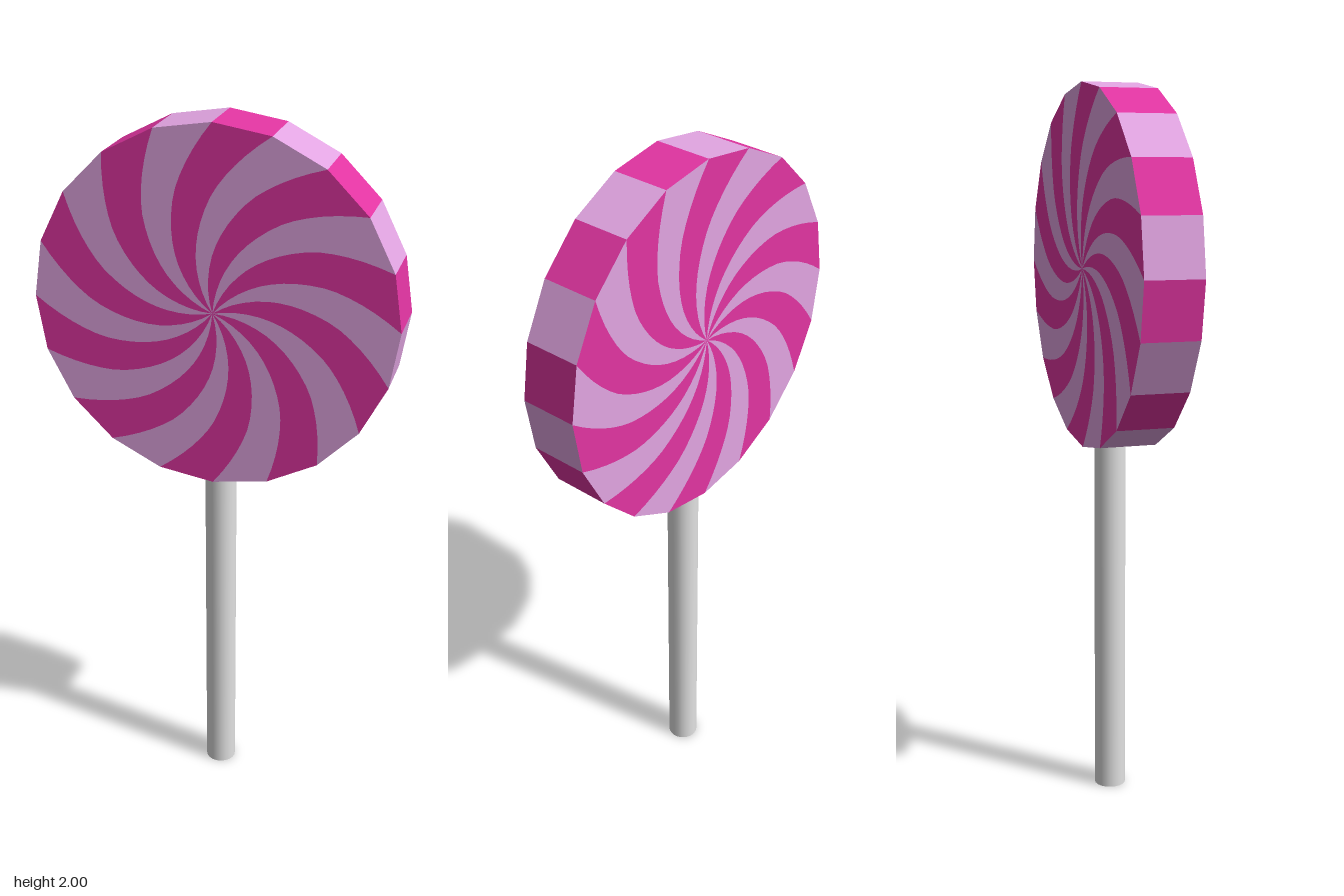
import * as THREE from 'three';

const SIDES = 20, R = 0.495, HALF = 0.08, CY = 1.505;
const STEP = (Math.PI * 2) / SIDES;
const TWIST = 0.9, RINGS = 16;

// point on the disc face: a = clockwise angle from the top, t = 0 centre .. 1 rim
function facePoint(a, t, z) {
  const ang = a - TWIST * (1 - t);
  const local = ((ang % STEP) + STEP) % STEP - STEP / 2;
  const r = t === 1 ? R : (t * R * Math.cos(STEP / 2)) / Math.cos(local);
  return [r * Math.sin(ang), r * Math.cos(ang), z];
}

// stripe border k: the pink stripes widen a little towards the centre
function border(k, t) {
  const widen = 0.07 * (1 - t);
  return (k + (k % 2 ? widen : -widen)) * STEP;
}

function toGeometry(pos) {
  const g = new THREE.BufferGeometry();
  g.setAttribute('position', new THREE.Float32BufferAttribute(pos, 3));
  g.computeVertexNormals();
  return g;
}

// every second curved stripe of one face
function swirlGeometry(parity) {
  const pos = [];
  for (let k = parity; k < SIDES; k += 2) {
    for (let j = 0; j < RINGS; j++) {
      const t0 = j / RINGS, t1 = (j + 1) / RINGS;
      const a = facePoint(border(k, t0), t0, HALF), b = facePoint(border(k + 1, t0), t0, HALF);
      const c = facePoint(border(k + 1, t1), t1, HALF), d = facePoint(border(k, t1), t1, HALF);
      if (j > 0) pos.push(...a, ...b, ...c);
      pos.push(...a, ...c, ...d);
    }
  }
  return toGeometry(pos);
}

// every second flat panel around the edge
function rimGeometry(parity) {
  const pos = [];
  for (let k = parity; k < SIDES; k += 2) {
    const a = facePoint(k * STEP, 1, HALF), b = facePoint((k + 1) * STEP, 1, HALF);
    const c = facePoint((k + 1) * STEP, 1, -HALF), d = facePoint(k * STEP, 1, -HALF);
    pos.push(...a, ...b, ...c, ...a, ...c, ...d);
  }
  return toGeometry(pos);
}

export function createModel() {
  const pink = new THREE.MeshStandardMaterial({ color: 0xe235a2 });
  pink.name = 'hotPink';
  const plum = new THREE.MeshStandardMaterial({ color: 0xe2a5e2 });
  plum.name = 'palePlum';
  const paper = new THREE.MeshStandardMaterial({ color: 0xe2e2e2, side: THREE.DoubleSide });
  paper.name = 'paperGrey';

  const model = new THREE.Group();
  model.name = 'lollipop';
  const candy = new THREE.Group();
  candy.name = 'candyDisc';
  candy.position.y = CY;
  model.add(candy);

  const add = (parent, name, geometry, material) => {
    const mesh = new THREE.Mesh(geometry, material);
    mesh.name = name;
    parent.add(mesh);
    return mesh;
  };

  // swirled faces and striped rim, in alternating colours
  [['pink', pink], ['plum', plum]].forEach(([name, material], parity) => {
    const swirl = swirlGeometry(parity);
    add(candy, name + 'FrontSwirl', swirl, material);
    add(candy, name + 'BackSwirl', swirl, material).rotation.y = Math.PI;
    add(candy, name + 'Rim', rimGeometry(parity), material);
  });

  // hollow stick
  const stick = add(model, 'stick', new THREE.CylinderGeometry(0.044, 0.044, 1.03, 20, 1, true), paper);
  stick.position.y = 0.515;
  return model;
}
